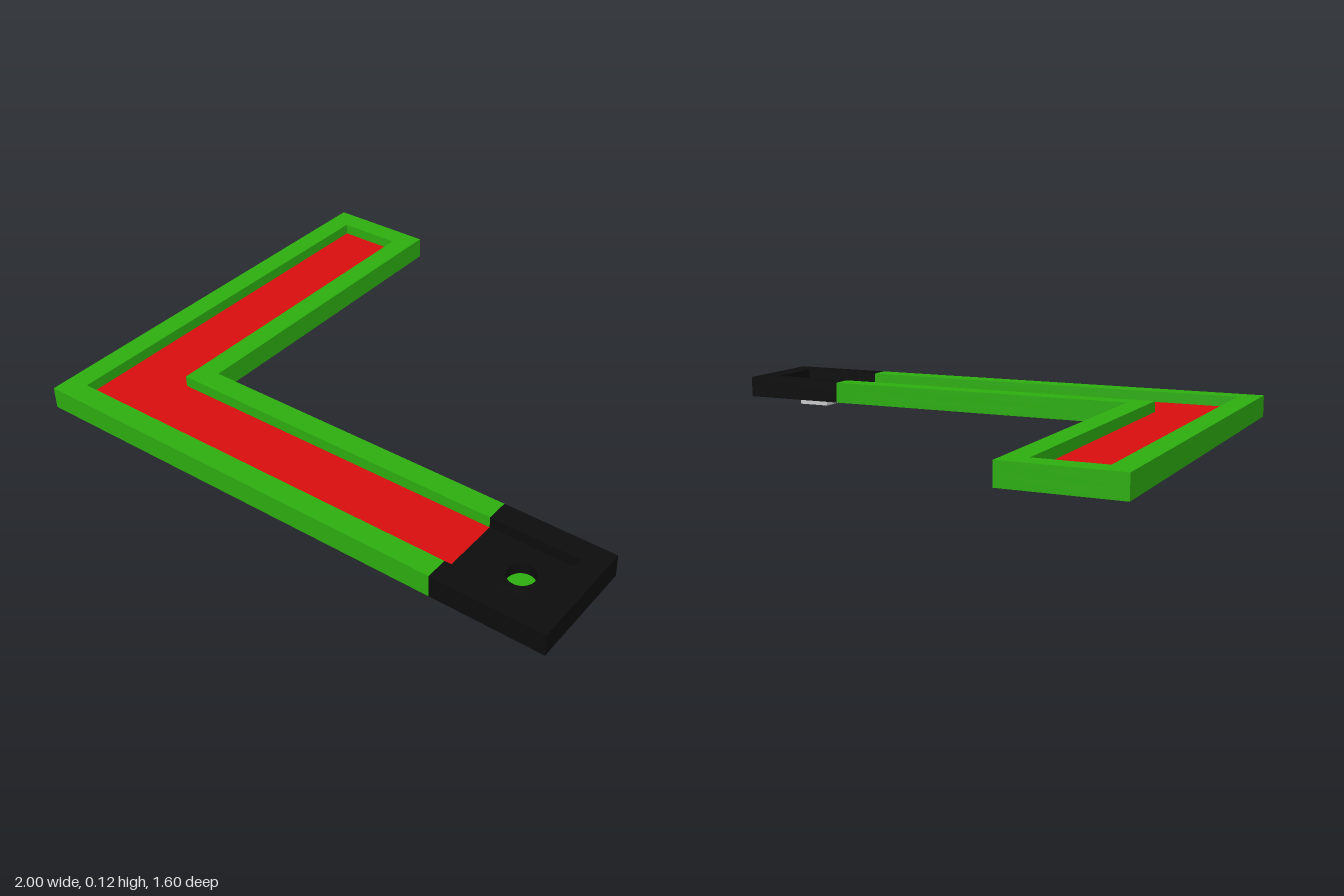
import * as THREE from 'three';

const BOTTOM = 0.04, FLOOR = 0.08, TOP = 0.12;
const material = (color) => new THREE.MeshStandardMaterial({ color });

// Outline in plan, given as [x, z] corners
function plan(corners) {
  return new THREE.Shape(corners.map(([x, z]) => new THREE.Vector2(x, -z)));
}

// Upright slab of a plan shape between two heights
function slab(name, shape, y0, y1, mat) {
  const geo = new THREE.ExtrudeGeometry(shape, { depth: y1 - y0, bevelEnabled: false, curveSegments: 16 });
  geo.rotateX(-Math.PI / 2).translate(0, y0, 0);
  const mesh = new THREE.Mesh(geo, mat);
  mesh.name = name;
  return mesh;
}

export function createModel() {
  const group = new THREE.Group();
  group.name = 'cornerTray';
  const green = material(0x2db010);
  const red = material(0xdd0e0e);
  const black = material(0x0d0d0d);
  const grey = material(0xcccccc);

  const outer = [[-1, -0.8], [-1, 0.8], [0.6, 0.8], [0.6, 0.4], [-0.6, 0.4], [-0.6, -0.8]];
  const inner = [[-0.92, -0.72], [-0.92, 0.72], [0.6, 0.72], [0.6, 0.48], [-0.68, 0.48], [-0.68, -0.72]];

  // L-shaped tray: base, red floor lining and the rim, open at the end block
  group.add(slab('trayBase', plan(outer), BOTTOM, FLOOR - 0.004, green));
  group.add(slab('trayFloor', plan(inner), FLOOR - 0.004, FLOOR, red));
  const rim = [
    ...outer.slice(0, 3), [0.6, 0.72], [-0.92, 0.72], [-0.92, -0.72],
    [-0.68, -0.72], [-0.68, 0.48], [0.6, 0.48], ...outer.slice(3),
  ];
  group.add(slab('trayRim', plan(rim), FLOOR - 0.004, TOP, green));

  // Black end section: floor with a round hole and a three-sided rim
  const endFloor = plan([[0.6, 0.4], [0.6, 0.8], [1, 0.8], [1, 0.4]]);
  endFloor.holes.push(new THREE.Path().absarc(0.793, -0.6, 0.047, 0, Math.PI * 2, true));
  group.add(slab('endFloor', endFloor, BOTTOM, FLOOR, black));
  const endRim = [[0.6, 0.8], [1, 0.8], [1, 0.4], [0.6, 0.4], [0.6, 0.48], [0.92, 0.48], [0.92, 0.72], [0.6, 0.72]];
  group.add(slab('endRim', plan(endRim), FLOOR, TOP, black));

  // Green button at the bottom of the hole
  const button = new THREE.Mesh(new THREE.CylinderGeometry(0.047, 0.047, 0.003, 32), green);
  button.name = 'holeButton';
  button.position.set(0.793, BOTTOM + 0.0015, 0.6);
  group.add(button);

  // Small peg underneath with a red lower face
  const peg = new THREE.Mesh(
    new THREE.BoxGeometry(0.125, BOTTOM, 0.13),
    [grey, grey, grey, red, grey, grey],
  );
  peg.name = 'undersidePeg';
  peg.position.set(0.79, BOTTOM / 2, 0.605);
  group.add(peg);

  return group;
}
